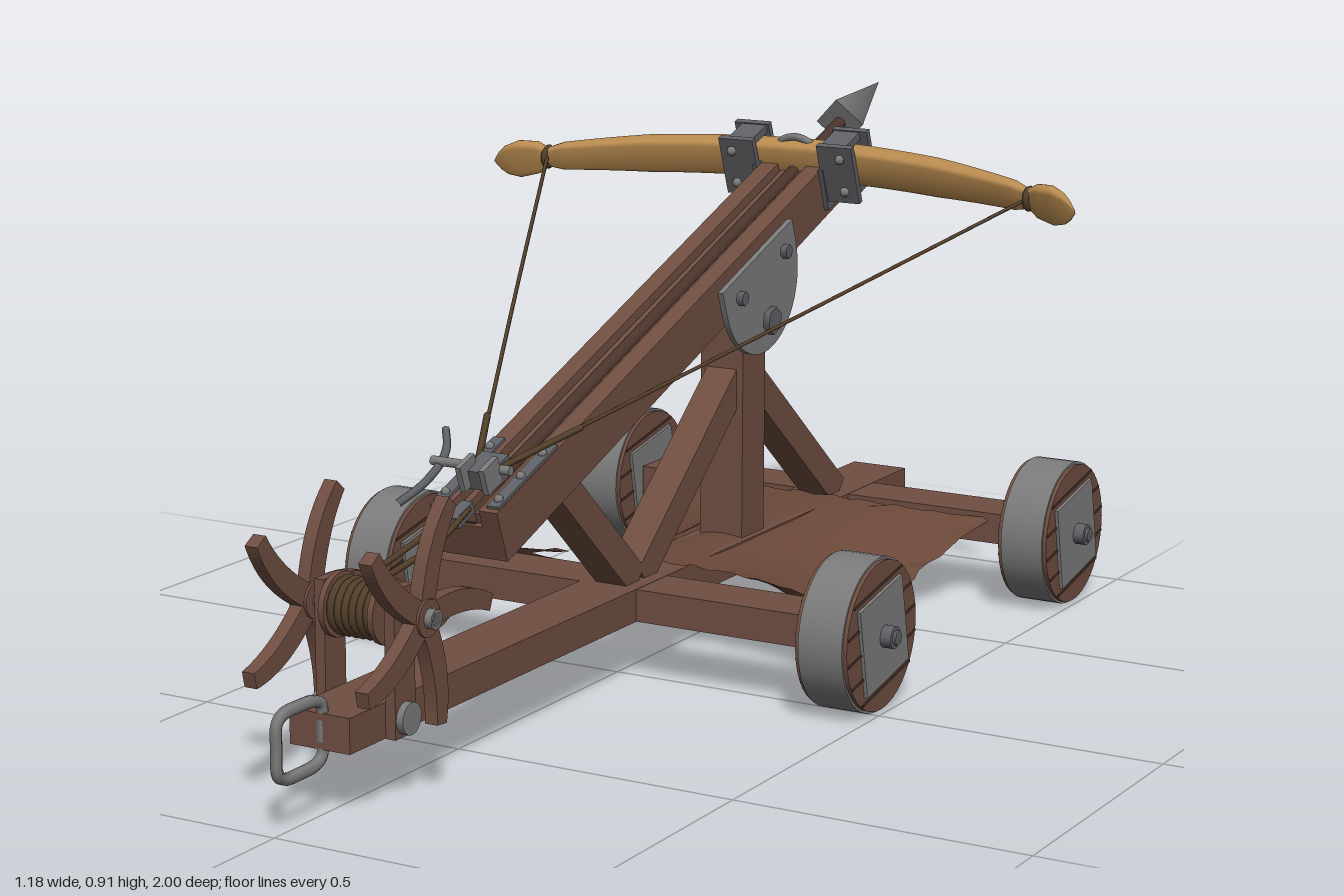
import * as THREE from 'three';

const mat = (name, color, extra = {}) => {
  const m = new THREE.MeshStandardMaterial({ color, ...extra });
  m.name = name;
  return m;
};

export function createModel() {
  const wood = mat('wood', 0x6f4e41);
  const darkWood = mat('dark wood', 0x4a342b);
  const iron = mat('iron', 0x7b7b7c);
  const darkIron = mat('dark iron', 0x606166);
  const bowWood = mat('bow wood', 0xb98b50);
  const rope = mat('rope', 0x54402a);
  const hide = mat('hide', 0x6a4839, { side: THREE.DoubleSide });

  const model = new THREE.Group();
  model.name = 'fieldBallista';

  const add = (parent, name, geo, material, x = 0, y = 0, z = 0) => {
    const m = new THREE.Mesh(geo, material);
    m.name = name;
    m.position.set(x, y, z);
    parent.add(m);
    return m;
  };
  const box = (parent, name, material, w, h, d, x, y, z) =>
    add(parent, name, new THREE.BoxGeometry(w, h, d), material, x, y, z);
  // Cylinder lying along x
  const rod = (parent, name, material, r, len, x, y, z, sides = 20) =>
    add(parent, name, new THREE.CylinderGeometry(r, r, len, sides).rotateZ(Math.PI / 2), material, x, y, z);
  // Side profile (shape X = z, shape Y = y) with thickness along x
  const sidePlate = (shape, depth) =>
    new THREE.ExtrudeGeometry(shape, { depth, bevelEnabled: false, curveSegments: 16 })
      .translate(0, 0, -depth / 2).rotateY(-Math.PI / 2);
  const tube = (parent, name, material, pts, r, closed = false, seg = 24) =>
    add(parent, name, new THREE.TubeGeometry(
      new THREE.CatmullRomCurve3(pts.map(p => new THREE.Vector3(...p)), closed, 'centripetal'), seg, r, 6, closed), material);
  // Timber between two points of the middle plane
  const brace = (name, z1, y1, z2, y2, w, t) => {
    const b = box(model, name, wood, w, t, Math.hypot(z2 - z1, y2 - y1), 0, (y1 + y2) / 2, (z1 + z2) / 2);
    b.rotation.x = -Math.atan2(y2 - y1, z2 - z1);
  };

  // Chassis
  box(model, 'spine', wood, 0.11, 0.057, 1.88, 0, 0.137, -0.06);
  box(model, 'frontCrossbeam', wood, 0.78, 0.056, 0.106, 0, 0.137, -0.022);
  box(model, 'rearCrossbeam', wood, 0.78, 0.056, 0.106, 0, 0.137, -0.81);
  box(model, 'centrePost', wood, 0.085, 0.44, 0.082, 0, 0.33, -0.405);
  brace('frontBrace', -0.04, 0.165, -0.4, 0.465, 0.06, 0.056);
  brace('rearBrace', -0.77, 0.165, -0.41, 0.465, 0.06, 0.056);
  brace('stockBrace', -0.02, 0.165, 0.23, 0.395, 0.06, 0.056);

  // Wheels
  for (const z of [-0.022, -0.81]) for (const s of [-1, 1]) {
    const wheel = new THREE.Group();
    wheel.name = 'wheel';
    wheel.position.set(s * 0.445, 0.135, z);
    wheel.rotation.x = 0.2;
    model.add(wheel);
    rod(wheel, 'wheelBoards', wood, 0.127, 0.094, 0, 0, 0, 40);
    rod(wheel, 'wheelTyre', iron, 0.131, 0.08, 0, 0, 0, 40);
    rod(wheel, 'axle', darkIron, 0.019, 0.145, 0, 0, 0, 16);
    for (const f of [-1, 1]) {
      for (const y of [-0.088, -0.044, 0, 0.044, 0.088])
        box(wheel, 'boardGap', darkWood, 0.003, 0.004, 2 * Math.sqrt(0.0155 - y * y), f * 0.0475, y, 0);
      box(wheel, 'hubPlate', iron, 0.008, 0.155, 0.155, f * 0.049, 0, 0);
      rod(wheel, 'hubBolt', darkIron, 0.013, 0.02, f * 0.068, 0, 0, 6);
    }
  }

  // Tow ring at the front end
  tube(model, 'towRing', iron, [
    [0, 0.098, 0.874], [0, 0.088, 0.89], [0, 0.085, 0.93], [0, 0.088, 0.975], [0, 0.1, 0.989],
    [0, 0.137, 0.99], [0, 0.175, 0.989], [0, 0.187, 0.975], [0, 0.19, 0.93], [0, 0.187, 0.89], [0, 0.177, 0.874], [0, 0.137, 0.872],
  ], 0.01, true, 60);

  // Winch with curved hand spokes
  const winch = new THREE.Group();
  winch.name = 'winch';
  winch.position.set(0, 0.3, 0.757);
  model.add(winch);
  rod(winch, 'winchAxle', darkIron, 0.012, 0.265, 0, 0, 0, 12);
  rod(winch, 'spool', rope, 0.04, 0.08, 0, 0, 0);
  for (let i = 0; i < 6; i++)
    add(winch, 'ropeCoil', new THREE.TorusGeometry(0.04, 0.008, 6, 20).rotateY(Math.PI / 2), rope, -0.033 + i * 0.0132);
  const spoke = new THREE.Shape();
  spoke.moveTo(0, -0.018);
  spoke.quadraticCurveTo(0.11, -0.035, 0.185, 0.012);
  spoke.lineTo(0.174, 0.036);
  spoke.quadraticCurveTo(0.1, 0.005, 0, 0.02);
  for (const s of [-1, 1]) {
    box(winch, 'winchPost', wood, 0.018, 0.235, 0.055, s * 0.064, -0.075, 0);
    rod(winch, 'postBolt', iron, 0.026, 0.014, s * 0.078, -0.163, 0, 16);
    rod(winch, 'spoolFlange', wood, 0.052, 0.01, s * 0.045, 0, 0);
    rod(winch, 'spokeHub', wood, 0.03, 0.032, s * 0.103, 0, 0, 16);
    rod(winch, 'axleCap', iron, 0.016, 0.02, s * 0.122, 0, 0, 12);
    for (let i = 0; i < 5; i++)
      add(winch, 'spoke', sidePlate(spoke, 0.023), wood, s * 0.103).rotation.x = -(0.6 + i * Math.PI * 0.4);
  }

  // Tilted stock; local -z runs up to the muzzle
  const stock = new THREE.Group();
  stock.name = 'stock';
  stock.position.set(0, 0.31, 0.448);
  stock.rotation.x = 0.3526;
  model.add(stock);
  box(stock, 'stockBeam', wood, 0.126, 0.06, 1.245, 0, 0.03, -0.6225);
  for (const s of [-1, 1]) {
    box(stock, 'stockRail', wood, 0.034, 0.032, 1.245, s * 0.046, 0.075, -0.6225);
    box(stock, 'innerRail', wood, 0.012, 0.018, 1.22, s * 0.019, 0.069, -0.62);
    box(stock, 'railStrap', darkIron, 0.022, 0.006, 0.19, s * 0.05, 0.093, -0.105);
    for (const z of [-0.03, -0.1, -0.17]) add(stock, 'strapStud', new THREE.SphereGeometry(0.008, 8, 6), iron, s * 0.05, 0.097, z);
  }
  box(stock, 'groove', darkWood, 0.026, 0.004, 1.23, 0, 0.062, -0.62);

  // Pivot plates
  const cheek = new THREE.Shape();
  cheek.moveTo(-0.135, 0.068);
  cheek.lineTo(-0.135, 0.022);
  cheek.absarc(0, 0.022, 0.134, Math.PI, Math.PI * 2, false);
  cheek.lineTo(0.135, 0.068);
  for (const s of [-1, 1]) {
    add(stock, 'pivotPlate', sidePlate(cheek, 0.01), iron, s * 0.068, 0, -0.886);
    for (const [z, y, r] of [[-0.802, 0.03, 0.013], [-0.973, 0.03, 0.013], [-0.886, -0.062, 0.025]])
      rod(stock, 'pivotBolt', darkIron, r, 0.016, s * 0.077, y, z, 6);
  }
  rod(stock, 'pivotPin', darkIron, 0.018, 0.14, 0, -0.062, -0.886, 12);

  // Bow: oval cross-sections swept from tip to tip
  const bowZ = t => -1.198 + 0.105 * Math.pow(Math.abs(t), 2);
  const keys = [[0, 0.036, 0.024], [0.5, 0.034, 0.021], [0.78, 0.026, 0.014], [0.83, 0.018, 0.009],
    [0.86, 0.031, 0.013], [0.92, 0.037, 0.013], [0.97, 0.027, 0.009], [1, 0.002, 0.001]];
  const section = t => {
    const k = Math.max(1, keys.findIndex(q => q[0] >= t));
    const [a, b] = [keys[k - 1], keys[k]];
    const f = (t - a[0]) / (b[0] - a[0]);
    return [a[1] + (b[1] - a[1]) * f, a[2] + (b[2] - a[2]) * f];
  };
  const pos = [], idx = [], N = 100, M = 12;
  for (let i = 0; i <= N; i++) {
    const t = i / N * 2 - 1, [h, d] = section(Math.abs(t));
    for (let j = 0; j < M; j++) {
      const a = j / M * Math.PI * 2, c = Math.cos(a), s = Math.sin(a);
      pos.push(t * 0.59, 0.092 + h * Math.sign(c) * Math.sqrt(Math.abs(c)), bowZ(t) + d * Math.sign(s) * Math.sqrt(Math.abs(s)));
      if (i < N) {
        const p = i * M + j, q = i * M + (j + 1) % M;
        idx.push(p, q, p + M, q, q + M, p + M);
      }
    }
  }
  const bowGeo = new THREE.BufferGeometry();
  bowGeo.setAttribute('position', new THREE.Float32BufferAttribute(pos, 3));
  bowGeo.setIndex(idx);
  bowGeo.computeVertexNormals();
  add(stock, 'bow', bowGeo, bowWood);

  // Bow clamps, string lashings and strings
  for (const s of [-1, 1]) {
    box(stock, 'clampFront', darkIron, 0.07, 0.112, 0.012, s * 0.1, 0.087, -1.164);
    box(stock, 'clampBack', darkIron, 0.07, 0.112, 0.012, s * 0.1, 0.087, -1.23);
    for (const y of [0.04, 0.134]) box(stock, 'clampBridge', darkIron, 0.05, 0.014, 0.07, s * 0.095, y, -1.197);
    box(stock, 'clampCheek', darkIron, 0.01, 0.08, 0.085, s * 0.067, 0.055, -1.197);
    for (const y of [0.055, 0.12]) for (const z of [-1.155, -1.239])
      add(stock, 'clampStud', new THREE.SphereGeometry(0.009, 8, 6), iron, s * 0.11, y, z);
    add(stock, 'lashing', new THREE.TorusGeometry(0.017, 0.006, 6, 14).rotateY(Math.PI / 2), rope, s * 0.49, 0.092, bowZ(0.83));
    tube(stock, 'bowString', rope, [[s * 0.487, 0.095, bowZ(0.83) + 0.01], [s * 0.25, 0.105, -0.59], [s * 0.012, 0.115, -0.07]], 0.0035);
    tube(stock, 'stringWrap', rope, [[s * 0.09, 0.112, -0.235], [s * 0.012, 0.115, -0.07]], 0.006, false, 4);
  }
  add(stock, 'dartGuide', new THREE.TorusGeometry(0.045, 0.007, 8, 20, Math.PI), iron, 0, 0.09, -1.2);

  // Dart
  add(stock, 'dartShaft', new THREE.CylinderGeometry(0.012, 0.012, 1.3, 10).rotateX(Math.PI / 2), darkWood, 0, 0.077, -0.75);
  add(stock, 'dartHead', new THREE.ConeGeometry(0.048, 0.17, 4).rotateX(-Math.PI / 2), iron, 0, 0.077, -1.454);

  // Trigger latch with curved lever
  box(stock, 'latchBlock', darkIron, 0.05, 0.034, 0.06, 0, 0.108, -0.085);
  for (const s of [-1, 1]) box(stock, 'latchClaw', iron, 0.01, 0.045, 0.045, s * 0.022, 0.118, -0.06);
  rod(stock, 'latchPin', iron, 0.008, 0.15, -0.03, 0.115, -0.085, 10);
  tube(stock, 'triggerLever', darkIron, [[-0.118, 0.13, -0.155], [-0.098, 0.118, -0.12], [-0.09, 0.11, -0.08], [-0.097, 0.1, -0.03], [-0.118, 0.09, 0.01]], 0.007);
  box(stock, 'stockHook', darkIron, 0.02, 0.02, 0.05, 0, 0.086, 0.01);

  // Draw rope from latch to spool
  for (const s of [-1, 1])
    tube(model, 'drawRope', rope, [[s * 0.008, 0.395, 0.475], [s * 0.018, 0.365, 0.58], [s * 0.014, 0.338, 0.74]], 0.005);

  // Torn hide sling hung between the crossbeams
  const G = 28, hp = [], hi = [];
  for (let i = 0; i <= G; i++) for (let j = 0; j <= G; j++) {
    const u = i / G * 2 - 1, v = j / G * 2 - 1;
    const ragged = 0.012 * Math.sin(i * 2.3 + j * 1.7) * Math.max(u ** 8, v ** 8) * (1 - u * u * v * v);
    const x = u * (0.265 + 0.085 * v ** 4) + ragged;
    const z = -0.425 + v * (0.29 + 0.05 * u ** 4) + ragged;
    const ripple = 0.006 * Math.sin(u * 9 + v * 5) * Math.abs(u) * (1 - v * v);
    hp.push(x, 0.17 - 0.115 * (1 - v * v) * Math.abs(u) ** 1.7 - 0.015 * u * u + ripple, z);
    const tear = x > -0.25 && x < -0.09 && z > -0.32 && z < -0.15 && Math.abs(x + z * 0.9 + 0.385 - 0.01 + 0.02 * Math.sin(j)) < 0.075
      || Math.hypot(x + 0.2, z + 0.2) < 0.05;
    if (i < G && j < G && !tear) {
      const p = i * (G + 1) + j, q = p + G + 1;
      hi.push(p, p + 1, q, p + 1, q + 1, q);
    }
  }
  const hideGeo = new THREE.BufferGeometry();
  hideGeo.setAttribute('position', new THREE.Float32BufferAttribute(hp, 3));
  hideGeo.setIndex(hi);
  hideGeo.computeVertexNormals();
  add(model, 'hideSling', hideGeo, hide);

  return model;
}
